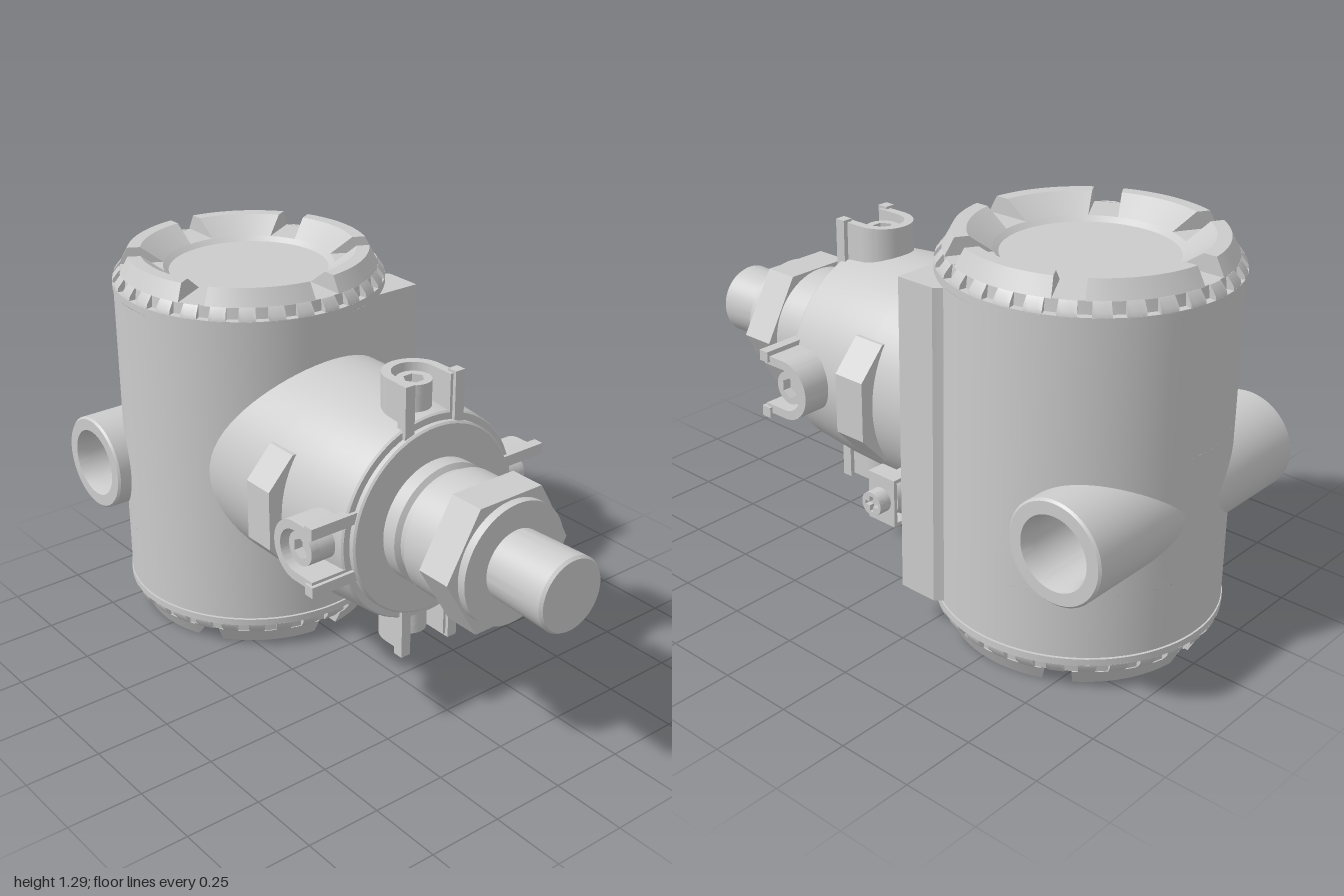
import * as THREE from 'three';
import { toCreasedNormals } from 'three/addons/utils/BufferGeometryUtils.js';

const mat = new THREE.MeshStandardMaterial({ color: 0xcccccc });
const R = 0.453, HZ = -0.545;        // housing radius and axis z
const AY = 0.665;                    // height of the sensor axis
const PORT_Y = 0.53, PORT_Z = -0.825;

function add(parent, name, geo, crease = 0.5) {
  const m = new THREE.Mesh(crease ? toCreasedNormals(geo, crease) : geo, mat);
  m.name = name;
  parent.add(m);
  return m;
}
const group = (parent, name) => {
  const g = new THREE.Group();
  g.name = name;
  parent.add(g);
  return g;
};
const lathe = (pts, seg = 72) => new THREE.LatheGeometry(pts.map(p => new THREE.Vector2(...p)), seg);
const box = (x0, x1, y0, y1, z0, z1) =>
  new THREE.BoxGeometry(x1 - x0, y1 - y0, z1 - z0).translate((x0 + x1) / 2, (y0 + y1) / 2, (z0 + z1) / 2);
const poly = pts => new THREE.Shape(pts.map(p => new THREE.Vector2(...p)));
const extrude = (shape, depth) =>
  new THREE.ExtrudeGeometry(shape, { depth, bevelEnabled: false, curveSegments: 20 });
// Plan shape drawn in (x, -z), raised from y0 to y1
const raise = (shape, y0, y1) => extrude(shape, y1 - y0).rotateX(-Math.PI / 2).translate(0, y0, 0);

// Convex profile swept around y between two angles, with straight gaps of half width hw at both ends
function arcBlock(profile, a0, a1, hw, n) {
  const pos = [], idx = [], P = profile.length;
  for (let i = 0; i <= n; i++) {
    for (const [r, y] of profile) {
      const inset = Math.asin(hw / r);
      const t = a0 + inset + (a1 - a0 - 2 * inset) * i / n;
      pos.push(r * Math.sin(t), y, r * Math.cos(t));
    }
  }
  for (let i = 0; i < n; i++) {
    for (let j = 0; j < P; j++) {
      const a = i * P + j, d = i * P + (j + 1) % P;
      idx.push(a, a + P, d, d + P, d, a + P);
    }
  }
  for (let j = 1; j < P - 1; j++) idx.push(0, j, j + 1, n * P, n * P + j + 1, n * P + j);
  const g = new THREE.BufferGeometry();
  g.setAttribute('position', new THREE.Float32BufferAttribute(pos, 3));
  g.setIndex(idx);
  return g;
}

// Piece of housing wall around a conduit opening, on side s
function portWall(s, y0, y1, p0, p1) {
  const pos = [], nor = [], idx = [], N = 64, K = 10, hole = 0.14;
  const pc = (p0 + p1) / 2, yc = (y0 + y1) / 2;
  for (let i = 0; i <= N; i++) {
    const c = Math.cos(i / N * 2 * Math.PI), q = Math.sin(i / N * 2 * Math.PI);
    const m = Math.max(Math.abs(c), Math.abs(q));
    const pin = Math.acos((HZ - PORT_Z - hole * c) / R), yin = PORT_Y + hole * q;
    const pout = pc + (p1 - p0) / 2 * c / m, yout = yc + (y1 - y0) / 2 * q / m;
    for (let k = 0; k <= K; k++) {
      const p = pin + (pout - pin) * k / K, y = yin + (yout - yin) * k / K;
      pos.push(s * R * Math.sin(p), y, HZ - R * Math.cos(p));
      nor.push(s * Math.sin(p), 0, -Math.cos(p));
    }
  }
  for (let i = 0; i < N; i++) {
    for (let k = 0; k < K; k++) {
      const a = i * (K + 1) + k, b = a + K + 1;
      if (s > 0) idx.push(a, b, a + 1, b, b + 1, a + 1);
      else idx.push(a, a + 1, b, b, a + 1, b + 1);
    }
  }
  const g = new THREE.BufferGeometry();
  g.setAttribute('position', new THREE.Float32BufferAttribute(pos, 3));
  g.setAttribute('normal', new THREE.Float32BufferAttribute(nor, 3));
  g.setIndex(idx);
  return g;
}

// Screw along +y with a recess of the given outline in its head
function screw(parent, name, r, y0, y1, depth, recess) {
  const g = group(parent, name);
  const face = new THREE.Shape().absarc(0, 0, r, 0, Math.PI * 2, false);
  face.holes.push(new THREE.Path(recess.map(p => new THREE.Vector2(...p))));
  add(g, 'screwHead', raise(face, y1 - depth, y1));
  add(g, 'screwShank', lathe([[0, y0], [r, y0], [r, y1 - depth], [0, y1 - depth]], 32));
  return g;
}

function makeCap() {
  const cap = new THREE.Group();
  add(cap, 'capBase', lathe([[0.4, -0.004], [0.446, -0.004], [0.446, 0.004], [0.456, 0.004], [0.456, 0.027],
    [0.432, 0.027], [0.428, 0.065], [0.285, 0.065], [0.267, 0.05], [0, 0.05]], 96));
  for (let i = 0; i < 6; i++) {
    const a = i * Math.PI / 3;
    add(cap, 'capRim', arcBlock([[0.285, 0.065], [0.432, 0.065], [0.403, 0.12], [0.36, 0.12]],
      a, a + Math.PI / 3, 0.046, 16));
  }
  for (let i = 0; i < 30; i++) {
    const a = (i + 0.5) * Math.PI / 15;
    add(cap, 'gripTooth', arcBlock([[0.42, 0.025], [0.456, 0.025], [0.453, 0.04], [0.432, 0.066], [0.42, 0.066]],
      a, a + Math.PI / 15, 0.02, 4));
  }
  return cap;
}

export function createModel() {
  const model = new THREE.Group();
  model.name = 'pressureTransmitter';

  // Housing wall, assembled around the two conduit openings
  const housing = group(model, 'housing');
  const y0 = 0.12, y1 = 1.17, w0 = 0.33, w1 = 0.73, p0 = 0.25, p1 = 1.4;
  const wall = (b, t, start, len) => add(housing, 'housingWall',
    new THREE.CylinderGeometry(R, R, t - b, 96, 1, true, start, len).translate(0, (b + t) / 2, HZ), 0);
  wall(y0, w0, 0, Math.PI * 2);
  wall(w1, y1, 0, Math.PI * 2);
  wall(w0, w1, p1 - Math.PI, 2 * (Math.PI - p1));
  wall(w0, w1, Math.PI - p0, 2 * p0);
  for (const s of [1, -1]) add(housing, 'portWall', portWall(s, w0, w1, p0, p1), 0);
  add(housing, 'cornerPad', raise(poly([[0.2, 0.5], [0.2, 0.176], [0.422, 0.176], [0.422, 0.31],
    [0.385, 0.35], [0.3, 0.5]]), 0.127, 1.166));

  // Conduit tube open from side to side
  add(model, 'conduit', lathe([[0.105, -0.44], [0.118, -0.487], [0.158, -0.487], [0.165, -0.48], [0.165, 0.48],
    [0.158, 0.487], [0.118, 0.487], [0.105, 0.44], [0.105, -0.44]])
    .rotateZ(-Math.PI / 2).translate(0, PORT_Y, PORT_Z));

  // Notched end caps
  const top = makeCap(), bottom = makeCap();
  top.name = 'topCap';
  top.position.set(0, 1.17, HZ);
  bottom.name = 'bottomCap';
  bottom.position.set(0, 0.12, HZ);
  bottom.rotation.x = Math.PI;
  model.add(top, bottom);

  // Sensor body and threaded fitting, turned around z
  const sensor = group(model, 'sensor');
  sensor.position.y = AY;
  const turned = (name, pts) => add(sensor, name, lathe(pts).rotateX(Math.PI / 2));
  turned('sensorBody', [[0, -0.5], [0.366, -0.5], [0.366, 0.05], [0.36, 0.22], [0.345, 0.385], [0.34, 0.392],
    [0.318, 0.392], [0.318, 0.408], [0.312, 0.414], [0, 0.414]]);
  turned('neck', [[0.205, 0.4], [0.205, 0.465], [0.188, 0.475], [0.188, 0.505], [0.207, 0.512], [0.207, 0.62],
    [0.2, 0.63], [0.2, 0.77], [0, 0.77]]);
  turned('stub', [[0.114, 0.76], [0.122, 0.99], [0.115, 1], [0, 1]]);
  const hex = r => Array.from({ length: 6 }, (_, i) => [r * Math.cos(i * Math.PI / 3), r * Math.sin(i * Math.PI / 3)]);
  add(sensor, 'hexNut', extrude(poly(hex(0.242)), 0.12).translate(0, 0, 0.622));

  // Flat wrench pads on both sides
  for (const s of [1, -1]) {
    const pad = [[0.2, -0.2], [0.317, -0.2], [0.41, -0.1], [0.41, 0.1], [0.317, 0.2], [0.2, 0.2]];
    add(sensor, 'wrenchPad', extrude(poly(pad.map(([x, y]) => [s * x, y])), 0.115));
  }

  // Four U-shaped lugs with socket screws
  const u = new THREE.Shape();
  u.moveTo(0.1, -0.392);
  u.lineTo(0.1, -0.305);
  u.absarc(0, -0.305, 0.1, 0, Math.PI, false);
  u.lineTo(-0.1, -0.392);
  u.lineTo(-0.07, -0.392);
  u.lineTo(-0.07, -0.305);
  u.absarc(0, -0.305, 0.07, Math.PI, 0, true);
  u.lineTo(0.07, -0.392);
  for (let i = 0; i < 4; i++) {
    const lug = group(sensor, 'lug');
    lug.rotation.z = i * Math.PI / 2;
    add(lug, 'lugWall', raise(u, 0.3, 0.458));
    for (const s of [1, -1]) {
      add(lug, 'lugEar', box(s > 0 ? 0.08 : -0.116, s > 0 ? 0.116 : -0.08, 0.29, 0.467, 0.368, 0.404));
    }
    screw(lug, 'lugScrew', 0.056, 0.3, 0.435, 0.03, hex(0.034)).position.z = 0.305;
  }

  // Grounding boss, clip and cross-head screw
  const ground = group(model, 'groundTerminal');
  ground.position.set(0, 0.415, -0.105);
  add(ground, 'groundBoss', lathe([[0, 0], [0.066, 0], [0.06, 0.425], [0, 0.425]], 40).rotateZ(-Math.PI / 2));
  add(ground, 'clipPlate', box(0.425, 0.437, -0.08, 0.08, -0.055, 0.055));
  for (const s of [1, -1]) {
    add(ground, 'clipTab', box(0.375, 0.437, s * 0.075 - 0.006, s * 0.075 + 0.006, -0.055, 0.055));
  }
  const a = 0.007, b = 0.026;
  const cross = [[a, a], [a, b], [-a, b], [-a, a], [-b, a], [-b, -a], [-a, -a], [-a, -b], [a, -b], [a, -a], [b, -a], [b, a]];
  screw(ground, 'groundScrew', 0.04, 0.43, 0.482, 0.018, cross).rotation.z = -Math.PI / 2;

  return model;
}
